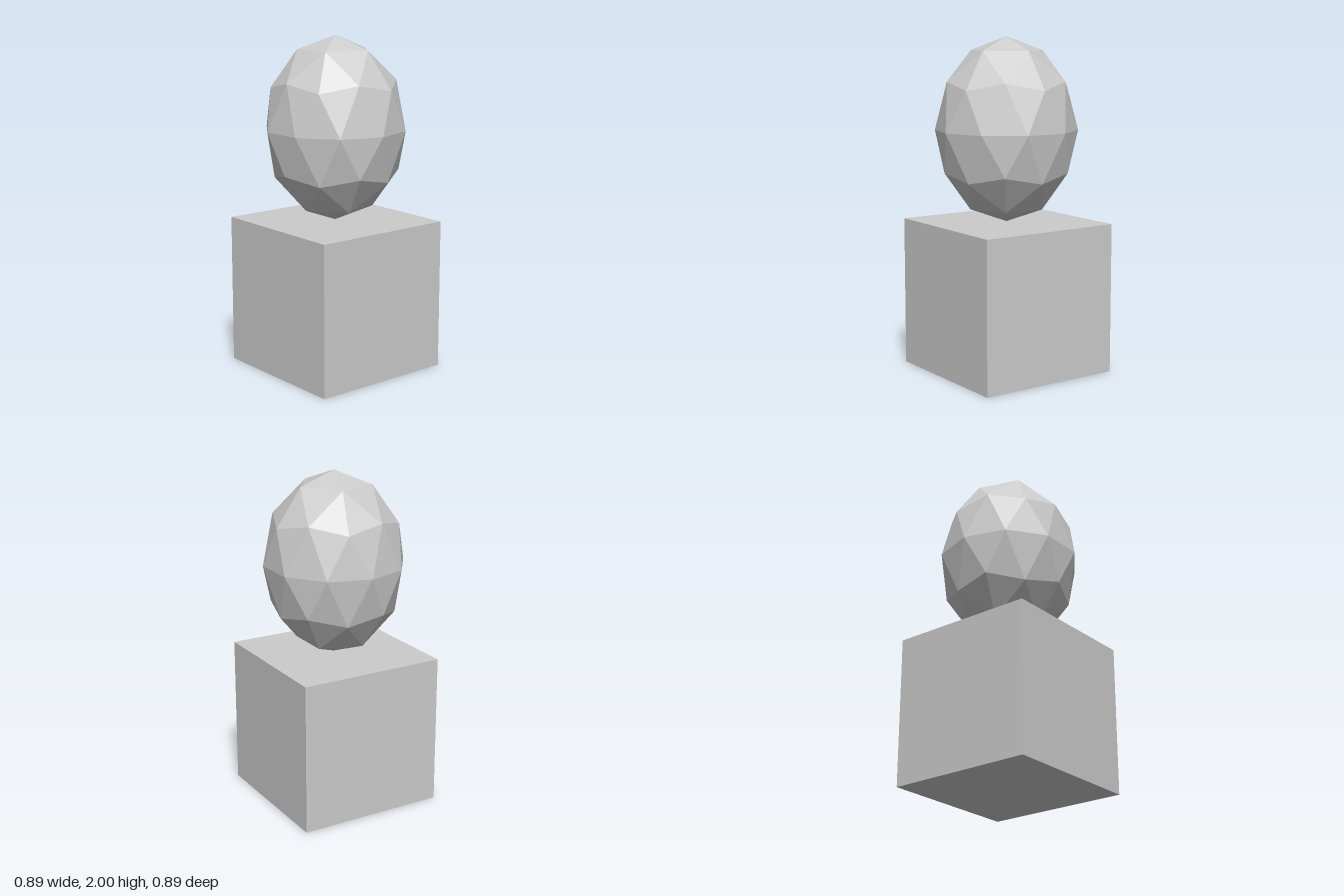
import * as THREE from 'three';

export function createModel() {
  const group = new THREE.Group();
  const material = new THREE.MeshStandardMaterial({ color: 0xcccccc, flatShading: true });

  // Square block standing on the ground
  const base = new THREE.Mesh(new THREE.BoxGeometry(0.893, 0.9, 0.893), material);
  base.name = 'baseBlock';
  base.position.y = 0.45;
  group.add(base);

  // Low-poly egg: an icosphere turned so one corner points straight up, then stretched
  const eggGeometry = new THREE.IcosahedronGeometry(1, 1);
  eggGeometry.rotateZ(-Math.atan(2 / (1 + Math.sqrt(5))));
  eggGeometry.scale(0.421, 0.55, 0.427);
  eggGeometry.computeVertexNormals();
  const egg = new THREE.Mesh(eggGeometry, material);
  egg.name = 'egg';
  egg.position.y = 1.45;
  group.add(egg);

  return group;
}
